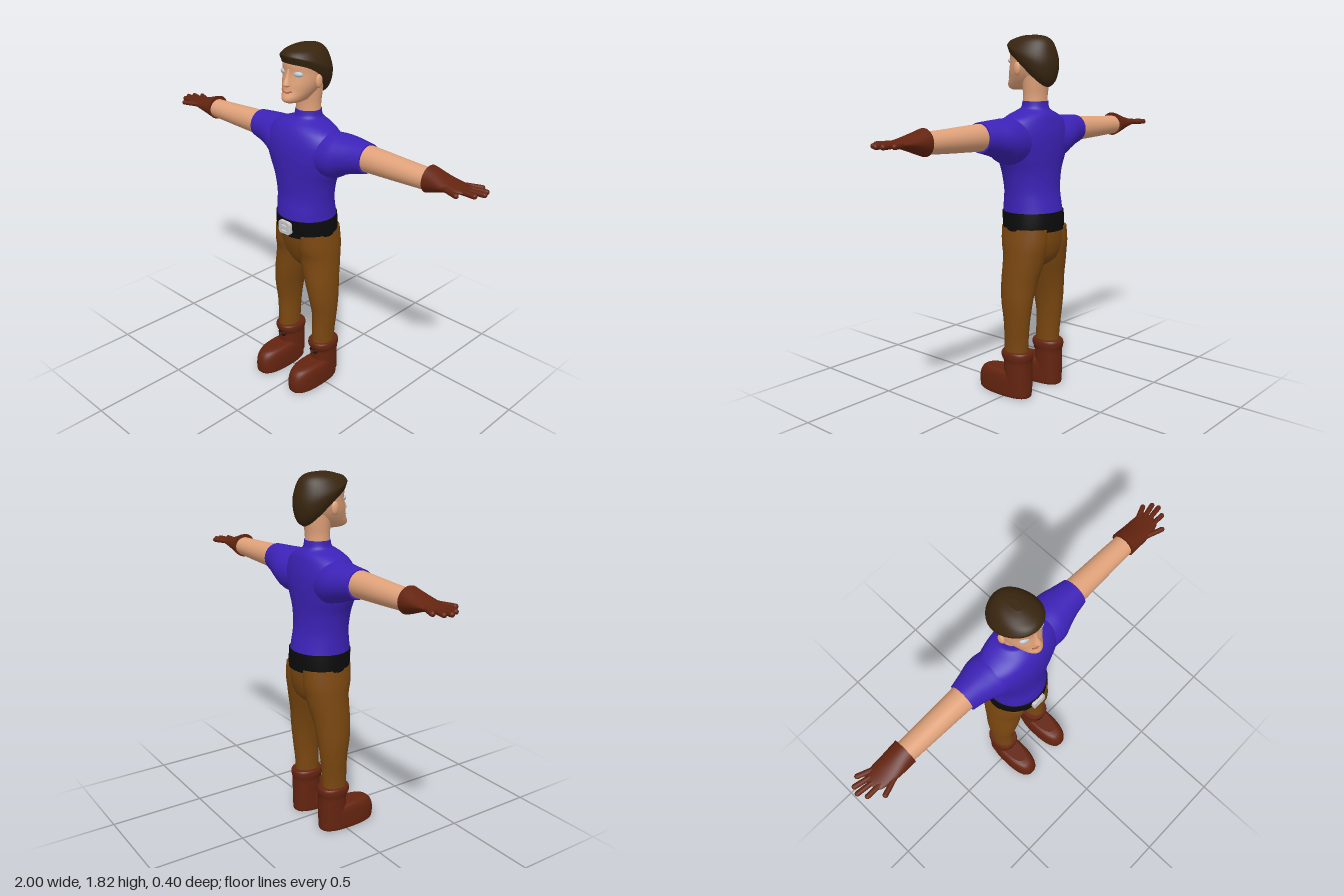
import * as THREE from 'three';

const CX = -0.03; // centre line of the body
const mat = (name, color) => Object.assign(new THREE.MeshStandardMaterial({ color }), { name });

// Smoothly interpolate a list of number rows
function smoothRows(rows, steps) {
  const out = [], at = i => rows[Math.max(0, Math.min(rows.length - 1, i))];
  for (let i = 0; i < rows.length - 1; i++) {
    for (let k = 0; k < steps; k++) {
      const u = k / steps;
      out.push(rows[i].map((p1, j) => {
        const p0 = at(i - 1)[j], p2 = at(i + 1)[j], p3 = at(i + 2)[j];
        return 0.5 * (2 * p1 + (p2 - p0) * u + (2 * p0 - 5 * p1 + 4 * p2 - p3) * u * u
          + (3 * p1 - p0 - 3 * p2 + p3) * u * u * u);
      }));
    }
  }
  out.push(rows[rows.length - 1]);
  return out;
}

// Loft of oval rings [t, a0, a1, zBack, zFront, slope, bend] along axis 'y' (a = x) or 'x' (a = y)
function loft(axis, rows, { power = 2, sides = 36, steps = 4 } = {}) {
  const rings = smoothRows(rows.map(r => [...r, 0, 0].slice(0, 7)), steps);
  const pos = [], idx = [];
  const flip = (axis === 'x') !== (rings[rings.length - 1][0] < rings[0][0]);
  const tri = (a, b, c) => (flip ? idx.push(a, c, b) : idx.push(a, b, c));
  const addRing = ([t, a0, a1, b0, b1, slope, bend]) => {
    const start = pos.length / 3;
    for (let j = 0; j < sides; j++) {
      const w = (j / sides) * Math.PI * 2;
      const round = v => Math.sign(v) * Math.pow(Math.abs(v), 2 / power);
      const c = round(Math.cos(w)), s = round(Math.sin(w)), rb = (b1 - b0) / 2;
      const a = (a0 + a1) / 2 + (Math.abs(a1 - a0) / 2) * c;
      const z = (b0 + b1) / 2 + rb * s;
      const along = t + slope * rb * s + bend * (1 - s * s);
      axis === 'y' ? pos.push(a, along, z) : pos.push(along, a, z);
    }
    return start;
  };
  rings.forEach((r, i) => {
    const o = addRing(r);
    if (i === 0) return;
    for (let j = 0; j < sides; j++) {
      const k = (j + 1) % sides, p = o - sides;
      tri(p + j, o + j, p + k);
      tri(p + k, o + j, o + k);
    }
  });
  // end caps with their own vertices so that the rim stays crisp
  [rings[0], rings[rings.length - 1]].forEach((r, end) => {
    const o = addRing(r);
    for (let j = 1; j < sides - 1; j++) end ? tri(o, o + j + 1, o + j) : tri(o, o + j, o + j + 1);
  });
  const g = new THREE.BufferGeometry();
  g.setAttribute('position', new THREE.Float32BufferAttribute(pos, 3));
  g.setIndex(idx);
  g.computeVertexNormals();
  return g;
}

// Rings symmetric about the centre line: [y, halfWidth, zBack, zFront, ...]
const centred = rows => rows.map(([y, h, ...r]) => [y, CX - h, CX + h, ...r]);
// Rings of one leg: [y, inner, outer, zBack, zFront]
const sided = (s, rows) => rows.map(([y, i, o, ...r]) => [y, CX + s * i, CX + s * o, ...r]);
// Rings of one arm: [x, yLow, yHigh, zBack, zFront]
const armed = (s, rows) => rows.map(([x, ...r]) => [s * x, ...r]);

function roundedRect(Shape, w, h, r, cy = 0) {
  const s = new Shape(), q = Math.PI / 2;
  s.absarc(w / 2 - r, cy + h / 2 - r, r, 0, q);
  s.absarc(-w / 2 + r, cy + h / 2 - r, r, q, 2 * q);
  s.absarc(-w / 2 + r, cy - h / 2 + r, r, 2 * q, 3 * q);
  s.absarc(w / 2 - r, cy - h / 2 + r, r, 3 * q, 4 * q);
  s.closePath();
  return s;
}

export function createModel() {
  const model = new THREE.Group();
  model.name = 'standingMan';
  const skin = mat('skin', 0xe0a27a), shirtBlue = mat('shirtBlue', 0x3d22b8);
  const trouserBrown = mat('trouserBrown', 0x7a4710), leather = mat('redBrownLeather', 0x642410);
  const hairBrown = mat('hairBrown', 0x38250f), beltBlack = mat('beltBlack', 0x0b0b0b);
  const metal = mat('buckleMetal', 0xc8c8c8), eyeMat = mat('eyeWhite', 0xbccad4);
  const lipMat = mat('lips', 0xb5694c), dark = mat('darkLeather', 0x2a130a);

  const add = (name, geometry, material, parent = model) => {
    const m = new THREE.Mesh(geometry, material);
    m.name = name;
    parent.add(m);
    return m;
  };
  const ball = (name, material, p, r, parent) => {
    const m = add(name, new THREE.SphereGeometry(1, 24, 16), material, parent);
    m.position.set(...p);
    m.scale.set(...r);
    return m;
  };

  // Head
  const head = new THREE.Group();
  head.name = 'head';
  model.add(head);
  add('neck', loft('y', centred([
    [1.47, 0.064, -0.115, 0.005], [1.53, 0.062, -0.115, 0.005], [1.58, 0.066, -0.122, 0.01], [1.63, 0.07, -0.13, 0.02],
  ])), skin, head);
  add('face', loft('y', centred([
    [1.558, 0.028, -0.03, 0.088], [1.568, 0.045, -0.05, 0.107], [1.585, 0.058, -0.075, 0.111],
    [1.615, 0.076, -0.1, 0.097], [1.65, 0.09, -0.12, 0.09], [1.7, 0.099, -0.14, 0.08],
    [1.75, 0.099, -0.14, 0.08], [1.785, 0.07, -0.11, 0.05],
  ])), skin, head);
  add('nose', loft('y', centred([
    [1.637, 0.009, 0.06, 0.098], [1.645, 0.02, 0.06, 0.112], [1.658, 0.017, 0.06, 0.11],
    [1.685, 0.011, 0.06, 0.096], [1.72, 0.009, 0.05, 0.084],
  ]), { sides: 16 }), skin, head);
  const lipPath = new THREE.CatmullRomCurve3([-0.032, -0.016, 0, 0.016, 0.032].map(x =>
    new THREE.Vector3(CX + x, 1.612 + 9 * x * x, 0.099 - 9 * x * x)));
  add('mouth', new THREE.TubeGeometry(lipPath, 16, 0.0035, 8), lipMat, head);
  for (const s of [-1, 1]) {
    ball('ear', skin, [CX + s * 0.1, 1.662, -0.022], [0.013, 0.033, 0.02], head);
    ball('eye', eyeMat, [CX + s * 0.048, 1.7, 0.062], [0.024, 0.013, 0.013], head).rotation.y = s * 0.35;
  }
  add('hair', loft('y', centred([
    [1.66, 0.1, -0.135, 0.085, 0.79, 0.035], [1.685, 0.112, -0.163, 0.093, 0.66, 0.035],
    [1.735, 0.112, -0.177, 0.097, 0.36, 0.01], [1.79, 0.088, -0.153, 0.08, 0.1, 0],
    [1.814, 0.056, -0.115, 0.04, 0, 0], [1.823, 0.02, -0.07, 0, 0, 0],
  ])), hairBrown, head);

  // Shirt body, belt and hips
  add('shirt', loft('y', centred([
    [0.95, 0.157, -0.19, 0.104], [1.0, 0.156, -0.178, 0.1], [1.07, 0.16, -0.163, 0.09],
    [1.16, 0.18, -0.16, 0.093], [1.23, 0.213, -0.165, 0.098], [1.3, 0.238, -0.168, 0.1],
    [1.36, 0.235, -0.165, 0.095], [1.41, 0.2, -0.155, 0.08], [1.44, 0.145, -0.145, 0.06],
    [1.46, 0.09, -0.13, 0.035], [1.475, 0.07, -0.122, 0.015], [1.505, 0.065, -0.118, 0.008],
  ]), { sides: 48 }), shirtBlue);
  add('belt', loft('y', centred([
    [0.865, 0.164, -0.196, 0.102], [0.91, 0.163, -0.196, 0.106], [0.96, 0.161, -0.193, 0.108],
  ]), { sides: 48 }), beltBlack);
  add('hips', loft('y', centred([
    [0.67, 0.04, -0.1, 0.01], [0.72, 0.13, -0.163, 0.045], [0.8, 0.17, -0.188, 0.078], [0.88, 0.162, -0.193, 0.098],
  ])), trouserBrown);

  // Buckle: a rounded frame with two slots
  const frame = roundedRect(THREE.Shape, 0.074, 0.066, 0.016);
  for (const y of [-0.014, 0.014]) frame.holes.push(roundedRect(THREE.Path, 0.038, 0.011, 0.005, y));
  const buckle = add('buckle', new THREE.ExtrudeGeometry(frame, {
    depth: 0.018, bevelEnabled: true, bevelSize: 0.003, bevelThickness: 0.003, bevelSegments: 2,
  }), metal);
  buckle.position.set(CX, 0.916, 0.1);

  for (const s of [-1, 1]) {
    const side = s > 0 ? 'left' : 'right';

    // Arm
    const arm = new THREE.Group();
    arm.name = side + 'Arm';
    model.add(arm);
    add('sleeve', loft('x', armed(s, [
      [0.08, 1.2, 1.42, -0.14, 0.065], [0.18, 1.205, 1.43, -0.158, 0.072], [0.24, 1.236, 1.428, -0.155, 0.056],
      [0.3, 1.258, 1.425, -0.137, 0.038], [0.367, 1.277, 1.42, -0.12, 0.027],
    ])), shirtBlue, arm);
    add('forearm', loft('x', armed(s, [
      [0.34, 1.284, 1.415, -0.112, 0.018], [0.45, 1.288, 1.41, -0.108, 0.014],
      [0.58, 1.293, 1.403, -0.105, 0.01], [0.73, 1.3, 1.397, -0.1, 0.006],
    ])), skin, arm);
    add('glove', loft('x', armed(s, [
      [0.715, 1.29, 1.416, -0.113, 0.017], [0.74, 1.298, 1.409, -0.112, 0.016], [0.8, 1.32, 1.39, -0.108, 0.018],
      [0.85, 1.336, 1.377, -0.106, 0.014], [0.9, 1.343, 1.369, -0.1, 0.003], [0.922, 1.348, 1.364, -0.088, -0.012],
    ])), leather, arm);
    // Four fingers and a thumb: [x, z] of root and tip
    const fingers = [[0.86, -0.085, 0.938, -0.116], [0.88, -0.068, 0.976, -0.09], [0.88, -0.046, 0.987, -0.058],
      [0.88, -0.018, 0.965, -0.018], [0.82, 0.002, 0.908, 0.033]];
    for (const [x0, z0, x1, z1] of fingers) {
      const from = new THREE.Vector3(s * x0, 1.356, z0), to = new THREE.Vector3(s * x1, 1.356, z1);
      const dir = to.clone().sub(from);
      const f = add('finger', new THREE.CapsuleGeometry(0.0125, dir.length(), 6, 12), leather, arm);
      f.position.copy(from).add(to).multiplyScalar(0.5);
      f.quaternion.setFromUnitVectors(new THREE.Vector3(0, 1, 0), dir.normalize());
    }

    // Leg
    const leg = new THREE.Group();
    leg.name = side + 'Leg';
    model.add(leg);
    add('trouserLeg', loft('y', sided(s, [
      [0.2, 0.075, 0.18, -0.104, 0.028], [0.3, 0.075, 0.182, -0.108, 0.027], [0.4, 0.072, 0.19, -0.118, 0.028],
      [0.505, 0.056, 0.196, -0.13, 0.045], [0.6, 0.028, 0.193, -0.142, 0.054], [0.68, 0.002, 0.187, -0.16, 0.056],
      [0.74, -0.015, 0.182, -0.172, 0.06], [0.8, -0.02, 0.176, -0.183, 0.076], [0.88, -0.02, 0.162, -0.185, 0.085],
    ])), trouserBrown, leg);
    add('bootShaft', loft('y', sided(s, [
      [0.05, 0.06, 0.19, -0.122, 0.024], [0.13, 0.06, 0.19, -0.122, 0.024], [0.185, 0.06, 0.19, -0.122, 0.025],
      [0.21, 0.055, 0.195, -0.128, 0.038], [0.232, 0.055, 0.195, -0.128, 0.04], [0.242, 0.06, 0.19, -0.122, 0.035],
    ]), { power: 2.3 }), leather, leg);
    add('bootFoot', loft('y', sided(s, [
      [0, 0.062, 0.188, -0.118, 0.185], [0.012, 0.057, 0.193, -0.123, 0.196], [0.06, 0.056, 0.194, -0.123, 0.199],
      [0.1, 0.058, 0.192, -0.122, 0.188], [0.125, 0.066, 0.184, -0.118, 0.165], [0.135, 0.08, 0.17, -0.105, 0.13],
    ]), { power: 2.5 }), leather, leg);
    const ring = add('bootRing', new THREE.TorusGeometry(0.018, 0.0065, 8, 24), dark, leg);
    ring.position.set(CX + s * 0.122, 0.188, 0.026);
    ring.scale.set(1.15, 0.8, 1);
  }
  return model;
}
